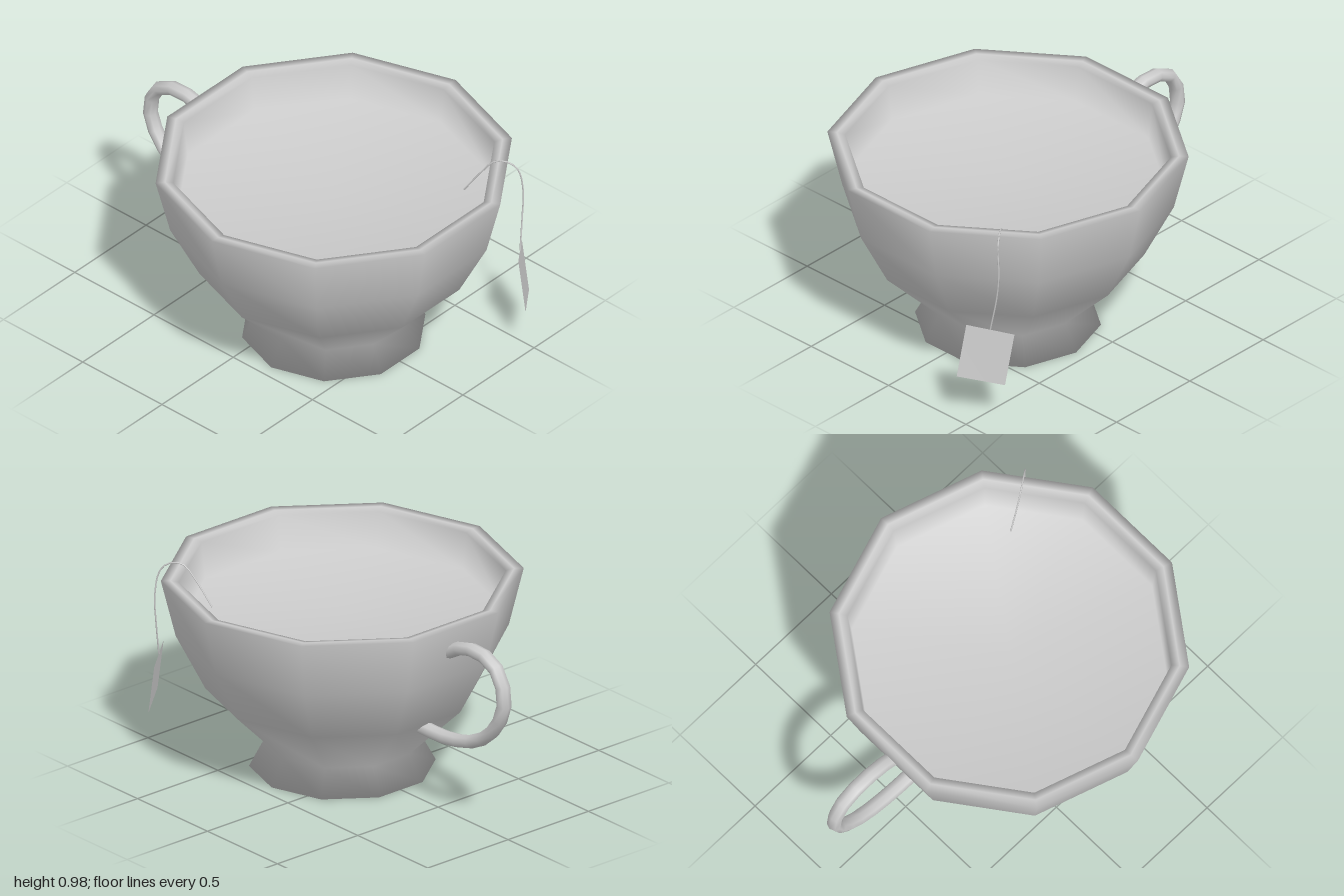
import * as THREE from 'three';

const grey = new THREE.MeshStandardMaterial({ color: 0xcccccc });
const thin = new THREE.MeshStandardMaterial({ color: 0xcccccc, side: THREE.DoubleSide });

function part(name, geometry, material = grey) {
  const mesh = new THREE.Mesh(geometry, material);
  mesh.name = name;
  return mesh;
}

function tube(points, segments, radius, sides) {
  const curve = new THREE.CatmullRomCurve3(points.map(p => new THREE.Vector3(...p)));
  return new THREE.TubeGeometry(curve, segments, radius, sides);
}

export function createModel() {
  const model = new THREE.Group();
  model.name = 'teacup';

  // Ten-sided cup: base, flared foot, bowl, rim, inner wall and drink surface
  const profile = [
    [0, 0], [0.44, 0], [0.37, 0.13], [0.645, 0.405], [0.785, 0.68], [0.855, 0.965],
    [0.81, 0.965], [0.77, 0.955], [0.75, 0.775], [0, 0.775],
  ].map(([r, y]) => new THREE.Vector2(r, y));
  const cup = part('cup', new THREE.LatheGeometry(profile, 10, Math.PI / 2));
  cup.position.z = 0.185;
  model.add(cup);

  // Looped handle at the back, its ends sunk into the wall
  const loop = [
    [-0.57, 0.82], [-0.65, 0.865], [-0.73, 0.887], [-0.83, 0.885], [-0.92, 0.84], [-0.967, 0.75],
    [-0.967, 0.65], [-0.90, 0.53], [-0.80, 0.445], [-0.69, 0.4], [-0.54, 0.375], [-0.37, 0.375],
  ].map(([z, y]) => [0, y, z]);
  const handle = part('handle', tube(loop, 14, 0.033, 8));
  handle.scale.x = 1.15;
  model.add(handle);

  // Thread from the drink, over the rim, down to the tag
  model.add(part('thread', tube([
    [0.43, 0.775, 0.62], [0.465, 0.9, 0.7], [0.495, 0.97, 0.755], [0.53, 0.972, 0.805],
    [0.56, 0.93, 0.845], [0.58, 0.8, 0.86], [0.57, 0.67, 0.863], [0.54, 0.485, 0.876],
  ], 24, 0.004, 5)));

  // Paper tag
  const tag = new THREE.BufferGeometry();
  tag.setAttribute('position', new THREE.Float32BufferAttribute([
    0.45, 0.505, 0.945, 0.44, 0.24, 1.0, 0.62, 0.205, 0.86, 0.63, 0.465, 0.806,
  ], 3));
  tag.setIndex([0, 1, 2, 0, 2, 3]);
  tag.computeVertexNormals();
  model.add(part('tag', tag, thin));

  return model;
}
